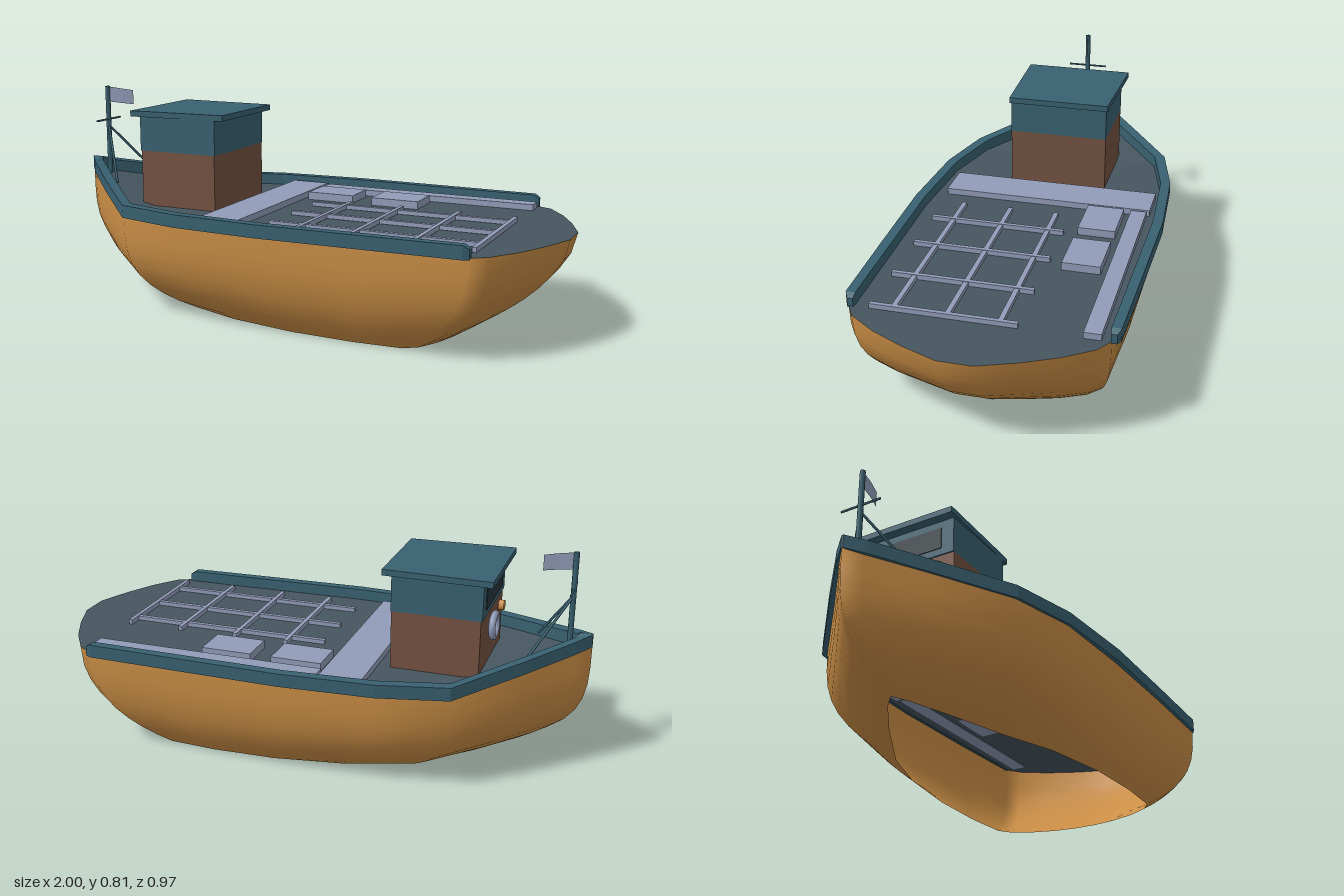
import * as THREE from 'three';

const mat = (color, extra = {}) => new THREE.MeshStandardMaterial({ color, ...extra });
const ORANGE = 0xc98d45, DECK = 0x46555f, TEAL = 0x386070, BROWN = 0x745142, PALE = 0x919cb8;

// Skin closed cross-sections; each ring runs anticlockwise seen from the end it advances to.
function loft(rings, capped) {
  const n = rings[0].length, index = [];
  for (let j = 0; j < rings.length - 1; j++)
    for (let i = 0; i < n; i++) {
      const k = (i + 1) % n, a = j * n + i, b = j * n + k, c = b + n, d = a + n;
      index.push(a, b, c, a, c, d);
    }
  if (capped) {
    const e = (rings.length - 1) * n;
    for (let i = 1; i < n - 1; i++) index.push(0, i + 1, i, e, e + i, e + i + 1);
  }
  return surface(rings.flat(), index);
}

function surface(points, index) {
  const g = new THREE.BufferGeometry();
  g.setAttribute('position', new THREE.Float32BufferAttribute(points.flat(), 3));
  g.setIndex(index);
  g.computeVertexNormals();
  return g;
}

export function createModel() {
  const boat = new THREE.Group();
  boat.name = 'boat';
  const add = (name, geo, material, parent = boat) => {
    const m = new THREE.Mesh(geo, material);
    m.name = name;
    parent.add(m);
    return m;
  };
  const box = (name, x0, x1, y0, y1, z0, z1, color, parent) => {
    const m = add(name, new THREE.BoxGeometry(x1 - x0, y1 - y0, z1 - z0), mat(color), parent);
    m.position.set((x0 + x1) / 2, (y0 + y1) / 2, (z0 + z1) / 2);
    return m;
  };
  const rod = (name, a, b, r, color, parent) => {
    const p = new THREE.Vector3(...a), d = new THREE.Vector3(...b).sub(p);
    const m = add(name, new THREE.CylinderGeometry(r, r, d.length(), 8), mat(color), parent);
    m.position.copy(p).addScaledVector(d, 0.5);
    m.quaternion.setFromUnitVectors(new THREE.Vector3(0, 1, 0), d.normalize());
    return m;
  };

  // Half stations from bow to stern: deck x,y,z / open bottom x,y,z / bilge fullness
  const stations = [
    [-1, 0.47, 0, -0.72, 0.06, 0, 4],
    [-0.95, 0.457, 0.047, -0.68, 0.05, 0.04, 4],
    [-0.8, 0.42, 0.19, -0.56, 0.028, 0.12, 3.8],
    [-0.59, 0.372, 0.385, -0.38, 0, 0.22, 3.4],
    [-0.34, 0.372, 0.445, -0.18, 0, 0.29, 3],
    [0, 0.372, 0.458, 0.08, 0, 0.335, 3],
    [0.4, 0.372, 0.455, 0.32, 0, 0.345, 3],
    [0.76, 0.372, 0.445, 0.5, 0, 0.335, 2.6],
    [0.82, 0.374, 0.41, 0.55, 0, 0.3, 2.3],
    [0.89, 0.374, 0.31, 0.59, 0, 0.23, 2],
    [0.95, 0.374, 0.19, 0.62, 0, 0.14, 1.8],
    [1, 0.374, 0.06, 0.635, 0, 0.05, 1.8],
  ];
  const zOff = 0.008;
  const ringAt = (f) => {
    const half = stations.map(([dx, dy, dz, bx, by, bz, p]) => {
      const g = 1 - (1 - f) ** p;
      return [bx + (dx - bx) * g, by + (dy - by) * f, bz + (dz - bz) * g];
    });
    const other = half.slice(1).reverse().map(([x, y, z]) => [x, y, -z]);
    return [...half, ...other].map(([x, y, z]) => [x, y, z + (x > -0.9 ? zOff : 0)]);
  };

  // Hull shell, open underneath
  const levels = [0, 0.08, 0.17, 0.27, 0.38, 0.5, 0.64, 0.8, 1];
  add('hull', loft(levels.map(ringAt)), mat(ORANGE, { side: THREE.DoubleSide }));

  // Deck strips across the top ring
  const top = ringAt(1), n = top.length, deckIndex = [];
  for (let i = 0; i < stations.length - 1; i++) {
    const a = i, b = i + 1, c = n - i - 1, d = (n - i) % n;
    deckIndex.push(a, b, c);
    if (d !== a) deckIndex.push(a, c, d);
  }
  add('deck', surface(top, deckIndex), mat(DECK, { side: THREE.DoubleSide, flatShading: true }));

  // Gunwale swept round the bow
  const rail = [
    [-1, 0.465, 0.004, -0.955, 0],
    [-0.95, 0.452, 0.062, -0.94, 0.02],
    [-0.8, 0.415, 0.208, -0.79, 0.165],
    [-0.59, 0.367, 0.402, -0.58, 0.362],
    [-0.34, 0.367, 0.462, -0.335, 0.424],
    [0, 0.367, 0.483, 0, 0.445],
    [0.4, 0.367, 0.475, 0.4, 0.438],
    [0.745, 0.367, 0.466, 0.745, 0.432],
    [0.765, 0.367, 0.455, 0.765, 0.435],
  ];
  const railRing = ([ox, y, oz, ix, iz], s) => {
    const t = y + (ox > 0.76 ? 0.035 : 0.048);
    const ring = [[ox, y, oz], [ix, y, iz], [ix, t, iz], [ox, t, oz]].map(([x, h, z]) => [x, h, z * s]);
    return s < 0 ? [ring[0], ring[1], ring[2], ring[3]] : ring;
  };
  const railRings = [...rail.slice().reverse().map((r) => railRing(r, -1)), ...rail.map((r) => railRing(r, 1))];
  add('gunwale', loft(railRings, true), mat(TEAL, { flatShading: true }));

  // Wheelhouse
  const cabin = new THREE.Group();
  cabin.name = 'wheelhouse';
  boat.add(cabin);
  box('lowerWalls', -0.64, -0.32, 0.37, 0.585, -0.2, 0.184, BROWN, cabin);
  box('upperWalls', -0.645, -0.318, 0.585, 0.72, -0.2, 0.184, TEAL, cabin);
  box('windscreen', -0.648, -0.64, 0.61, 0.69, -0.15, 0.135, 0x26343c, cabin);
  const roof = new THREE.Shape([[-0.68, -0.222], [-0.285, -0.21], [-0.285, 0.182], [-0.68, 0.197]]
    .map(([x, z]) => new THREE.Vector2(x, -z)));
  const roofGeo = new THREE.ExtrudeGeometry(roof, { depth: 0.022, bevelEnabled: false });
  roofGeo.rotateX(-Math.PI / 2);
  add('roof', roofGeo, mat(TEAL), cabin).position.y = 0.717;

  // Lifebuoy and lamp on the forward wall
  const buoy = add('lifebuoy', new THREE.TorusGeometry(0.042, 0.013, 8, 20), mat(PALE), cabin);
  buoy.rotation.y = Math.PI / 2;
  buoy.position.set(-0.653, 0.51, -0.02);
  rod('lamp', [-0.66, 0.535, 0.13], [-0.638, 0.535, 0.13], 0.02, ORANGE, cabin);

  // Mast, crossbar, stays and pennant
  const mast = new THREE.Group();
  mast.name = 'mast';
  boat.add(mast);
  rod('mastPole', [-0.92, 0.44, 0], [-0.92, 0.805, 0], 0.01, TEAL, mast);
  rod('crossbar', [-0.92, 0.67, -0.08], [-0.92, 0.67, 0.08], 0.004, TEAL, mast);
  for (const s of [-1, 1]) rod('stay', [-0.92, 0.645, 0], [-0.79, 0.44, s * 0.14], 0.005, TEAL, mast);
  const flagPoints = [[-0.912, 0], [-0.86, -0.008], [-0.812, -0.022]]
    .flatMap(([x, z], i) => [[x, 0.742 - i * 0.004, z], [x, 0.803 - i * 0.006, z]]);
  add('flag', surface(flagPoints, [0, 2, 3, 0, 3, 1, 2, 4, 5, 2, 5, 3]),
    mat(PALE, { side: THREE.DoubleSide }), mast);

  // Deck fittings
  box('crossPlank', -0.275, -0.12, 0.37, 0.396, -0.415, 0.395, PALE);
  box('sideBench', -0.11, 0.765, 0.37, 0.395, -0.405, -0.345, PALE);
  for (const x of [-0.1, 0.17]) box('hatch', x, x + 0.19, 0.37, 0.402, -0.32, -0.18, PALE);
  const grid = new THREE.Group();
  grid.name = 'deckGrid';
  boat.add(grid);
  for (const z of [-0.07, 0.11, 0.295]) box('longBar', -0.03, 0.765, 0.374, 0.39, z - 0.009, z + 0.009, PALE, grid);
  for (const x of [0.108, 0.315, 0.542, 0.757]) box('crossBar', x - 0.008, x + 0.008, 0.374, 0.392, -0.13, 0.38, PALE, grid);

  return boat;
}
